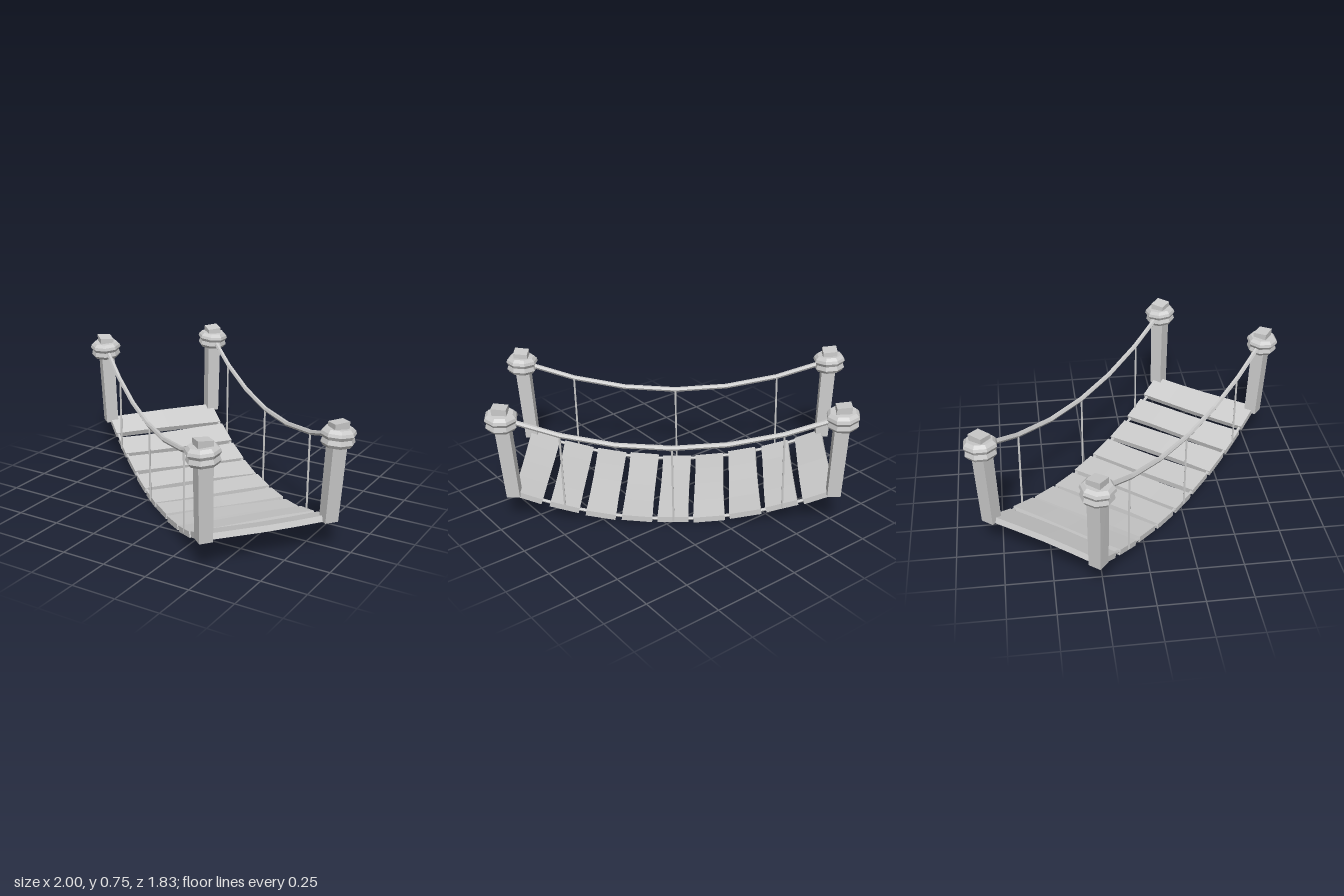
import * as THREE from 'three';

const mat = new THREE.MeshStandardMaterial({ color: 0xcccccc, flatShading: true });

function mesh(name, geometry) {
  const m = new THREE.Mesh(geometry, mat);
  m.name = name;
  return m;
}

// Small repeatable wobble in -1..1
const wobble = (a, b = 0) => Math.sin(a * 12.9 + b * 7.3 + 1.7);

// Sagging curves of the deck underside and of the hand ropes
const deckY = (s) => 0.005 + 0.18 * (s / 0.87) ** 2;
const ropeY = (s) => 0.475 + 0.175 * (s / 0.87) ** 2;

function sagCurve(fn, z, half, n) {
  const points = [];
  for (let i = 0; i <= n; i++) {
    const s = -half + (2 * half * i) / n;
    points.push(new THREE.Vector3(s, fn(s), z));
  }
  return new THREE.CatmullRomCurve3(points);
}

// One worn board: a box bent and skewed a little along its length
function plank(i) {
  const s = (i - 4) * 0.197;
  const g = new THREE.BoxGeometry(0.17, 0.032, 0.69, 1, 1, 4);
  const p = g.attributes.position;
  for (let k = 0; k < p.count; k++) {
    const z = p.getZ(k), x = p.getX(k);
    p.setX(k, x + 0.005 * wobble(i, z * 0.6 + Math.sign(x)));
    p.setY(k, p.getY(k) + 0.004 * Math.cos(z * 7 + i * 2));
    p.setZ(k, z + 0.005 * wobble(i + 3, Math.sign(z)));
  }
  const m = mesh('plank', g);
  m.position.set(s, deckY(s) + 0.016, 0);
  m.rotation.z = Math.atan((2 * 0.18 * s) / 0.87 ** 2);
  return m;
}

// Leaning square post with a slanted top and a bulging rope wrap
function post(sx, sz) {
  const g = new THREE.Group();
  g.name = 'post';
  const box = new THREE.BoxGeometry(0.074, 0.54, 0.074);
  const p = box.attributes.position;
  for (let k = 0; k < p.count; k++) {
    const x = p.getX(k), z = p.getZ(k);
    const t = p.getY(k) / 0.54 + 0.5;
    const grow = 0.97 + 0.1 * t;
    p.setXYZ(k,
      x * grow + sx * (0.862 + 0.026 * t),
      0.185 + 0.54 * t + t * (sx * x * 0.12 + sz * z * 0.08),
      z * grow + sz * (0.335 + 0.015 * t));
  }
  g.add(mesh('postTimber', box));

  const profile = [[0.03, -0.046], [0.074, -0.046], [0.087, -0.028], [0.08, -0.004],
    [0.091, 0.014], [0.086, 0.03], [0.07, 0.046], [0.03, 0.046]];
  const wrap = mesh('ropeWrap',
    new THREE.LatheGeometry(profile.map(([r, y]) => new THREE.Vector2(r, y)), 8));
  wrap.position.set(sx * 0.887, 0.648, sz * 0.35);
  wrap.rotation.set(0.04 * sz, 0.3 * sx * sz, 0.05 * sx);
  g.add(wrap);
  return g;
}

export function createModel() {
  const model = new THREE.Group();
  model.name = 'ropeBridge';
  const bridge = new THREE.Group();
  bridge.name = 'bridge';
  // Turned across the ground, with one end slightly higher
  bridge.rotation.set(0, THREE.MathUtils.degToRad(-38.9), -0.02);
  model.add(bridge);

  // Deck
  for (let i = 0; i < 9; i++) bridge.add(plank(i));

  for (const side of [-1, 1]) {
    // Posts at both ends
    bridge.add(post(-1, side), post(1, side));

    // Hand rope and the deck rope that carries the boards
    bridge.add(mesh('handRope',
      new THREE.TubeGeometry(sagCurve(ropeY, side * 0.35, 0.87, 6), 6, 0.014, 6)));
    bridge.add(mesh('deckRope',
      new THREE.TubeGeometry(sagCurve((s) => deckY(s) + 0.016, side * 0.33, 0.85, 8), 16, 0.009, 6)));

    // Hanging ropes between hand rope and deck
    for (const s of [-0.59, 0, 0.59]) {
      const bottom = deckY(s) + 0.01;
      const h = ropeY(s) - bottom;
      const hanger = mesh('hangerRope', new THREE.CylinderGeometry(0.006, 0.006, h, 6));
      hanger.position.set(s, bottom + h / 2, side * 0.343);
      bridge.add(hanger);
    }
  }
  return model;
}
